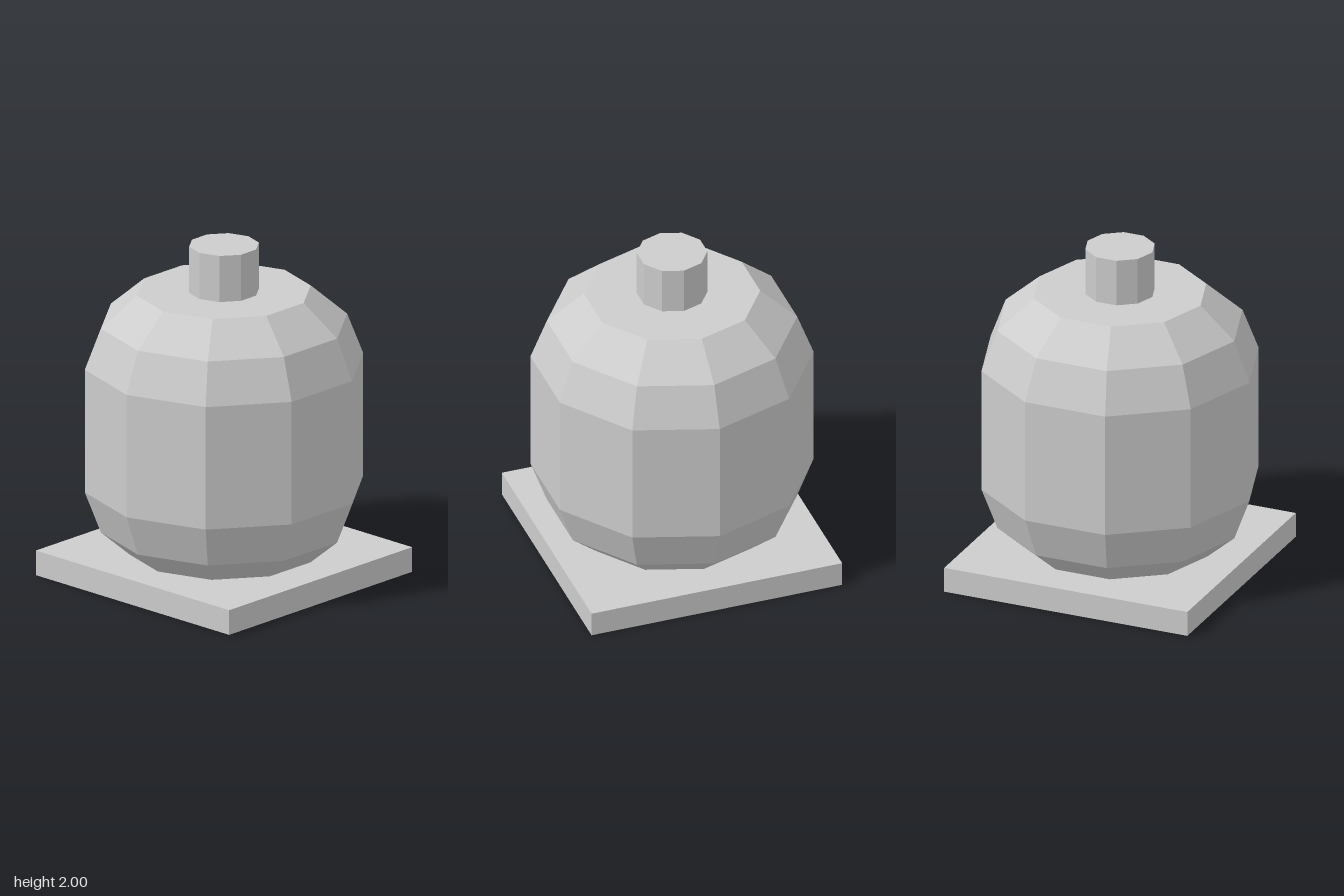
import * as THREE from 'three';

const SIDES = 10;

export function createModel() {
  const grey = new THREE.MeshStandardMaterial({ color: 0xcccccc, flatShading: true });
  grey.name = 'light grey';
  const group = new THREE.Group();
  group.name = 'tankOnBase';

  const add = (name, geometry, y = 0) => {
    const mesh = new THREE.Mesh(geometry, grey);
    mesh.name = name;
    mesh.position.y = y;
    group.add(mesh);
  };

  // Square base slab
  add('base', new THREE.BoxGeometry(1.53, 0.15, 1.53), 0.075);

  // Ten-sided body with two bevels at each end, its foot sunk into the slab
  const profile = [
    [0, 0.11], [0.505, 0.11], [0.72, 0.295], [0.814, 0.545],
    [0.814, 1.29], [0.72, 1.535], [0.507, 1.72], [0, 1.72],
  ].map(([r, y]) => new THREE.Vector2(r, y));
  add('body', new THREE.LatheGeometry(profile, SIDES));

  // Ten-sided neck
  add('neck', new THREE.CylinderGeometry(0.204, 0.204, 0.3, SIDES), 1.85);

  return group;
}
